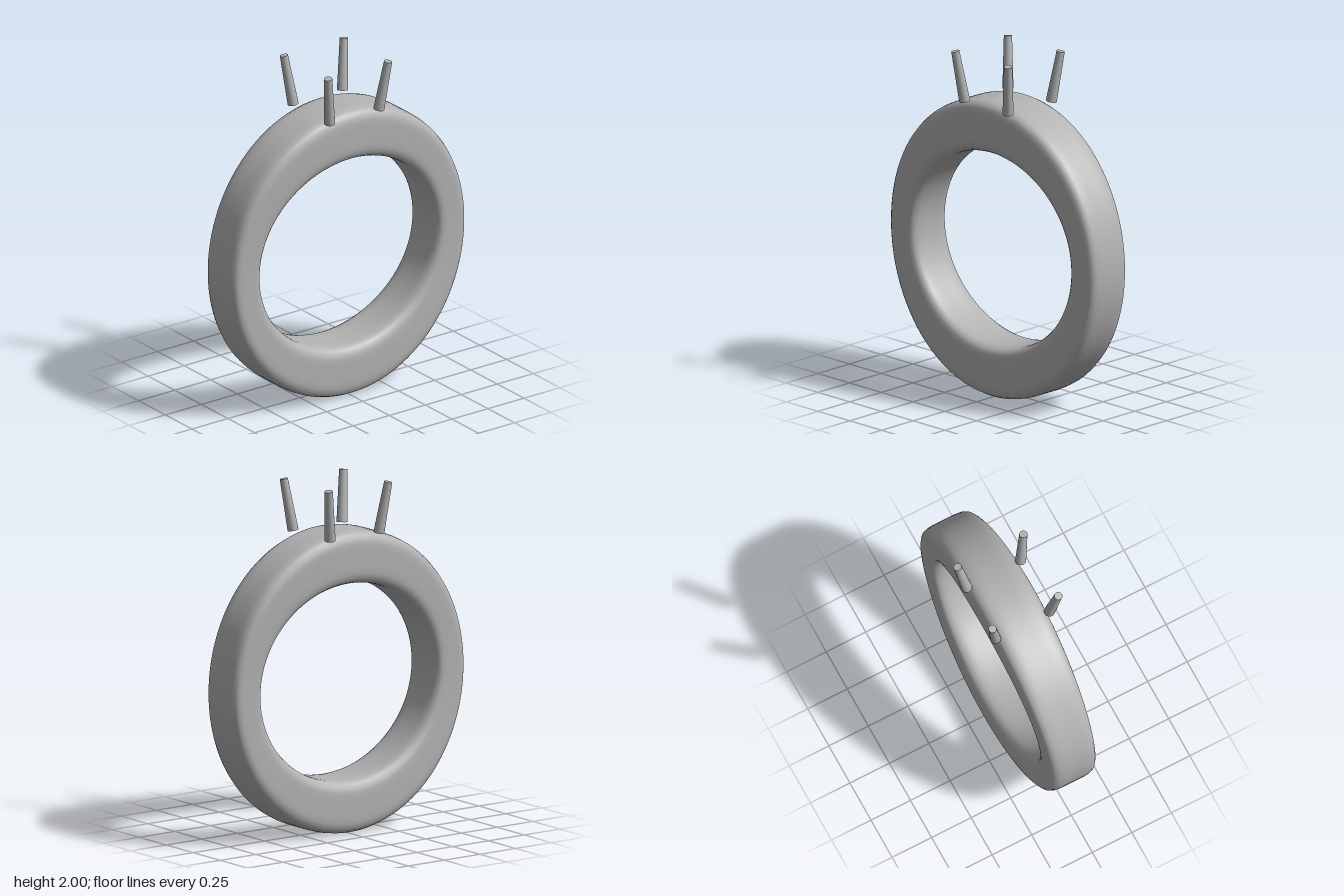
import * as THREE from 'three';

const metal = new THREE.MeshStandardMaterial({ color: 0xb3b3b3 });
metal.name = 'grey metal';

const MEAN_RADIUS = 0.711;
const CENTRE_Y = 0.862;

// Band: a soft-cornered section swept round a circle, thicker at top and bottom
function bandGeometry(around = 128, section = 48) {
  const positions = [], index = [];
  const n = 5.5; // squareness of the section
  for (let i = 0; i < around; i++) {
    const a = (i / around) * Math.PI * 2;
    const swell = Math.sin(a) ** 2;
    const halfThick = 0.1 + 0.051 * swell;
    const halfWide = 0.14 + 0.026 * swell;
    for (let j = 0; j < section; j++) {
      const t = (j / section) * Math.PI * 2;
      const c = Math.cos(t), s = Math.sin(t);
      const k = (Math.abs(c) ** n + Math.abs(s) ** n) ** (-1 / n);
      const r = MEAN_RADIUS + halfThick * k * c;
      positions.push(r * Math.cos(a), r * Math.sin(a), halfWide * k * s);
      const i2 = (i + 1) % around, j2 = (j + 1) % section;
      const p = i * section + j, q = i2 * section + j;
      const p2 = i * section + j2, q2 = i2 * section + j2;
      index.push(p, q, p2, q, q2, p2);
    }
  }
  const g = new THREE.BufferGeometry();
  g.setAttribute('position', new THREE.Float32BufferAttribute(positions, 3));
  g.setIndex(index);
  g.computeVertexNormals();
  return g;
}

export function createModel() {
  const model = new THREE.Group();
  model.name = 'ring';

  const band = new THREE.Mesh(bandGeometry(), metal);
  band.name = 'band';
  band.position.y = CENTRE_Y;
  model.add(band);

  // Four tapered prongs leaning outward at the corners of the setting
  const prongs = new THREE.Group();
  prongs.name = 'prongs';
  const up = new THREE.Vector3(0, 1, 0);
  for (const sx of [-1, 1]) {
    for (const sz of [-1, 1]) {
      const base = new THREE.Vector3(sx * 0.171, 1.704, sz * 0.171);
      const tip = new THREE.Vector3(sx * 0.208, 1.996, sz * 0.208);
      const axis = tip.clone().sub(base);
      const prong = new THREE.Mesh(
        new THREE.CylinderGeometry(0.023, 0.031, axis.length(), 24), metal);
      prong.name = (sz > 0 ? 'front' : 'back') + (sx > 0 ? 'Left' : 'Right') + 'Prong';
      prong.position.copy(base).add(tip).multiplyScalar(0.5);
      prong.quaternion.setFromUnitVectors(up, axis.normalize());
      prongs.add(prong);
    }
  }
  model.add(prongs);
  return model;
}
